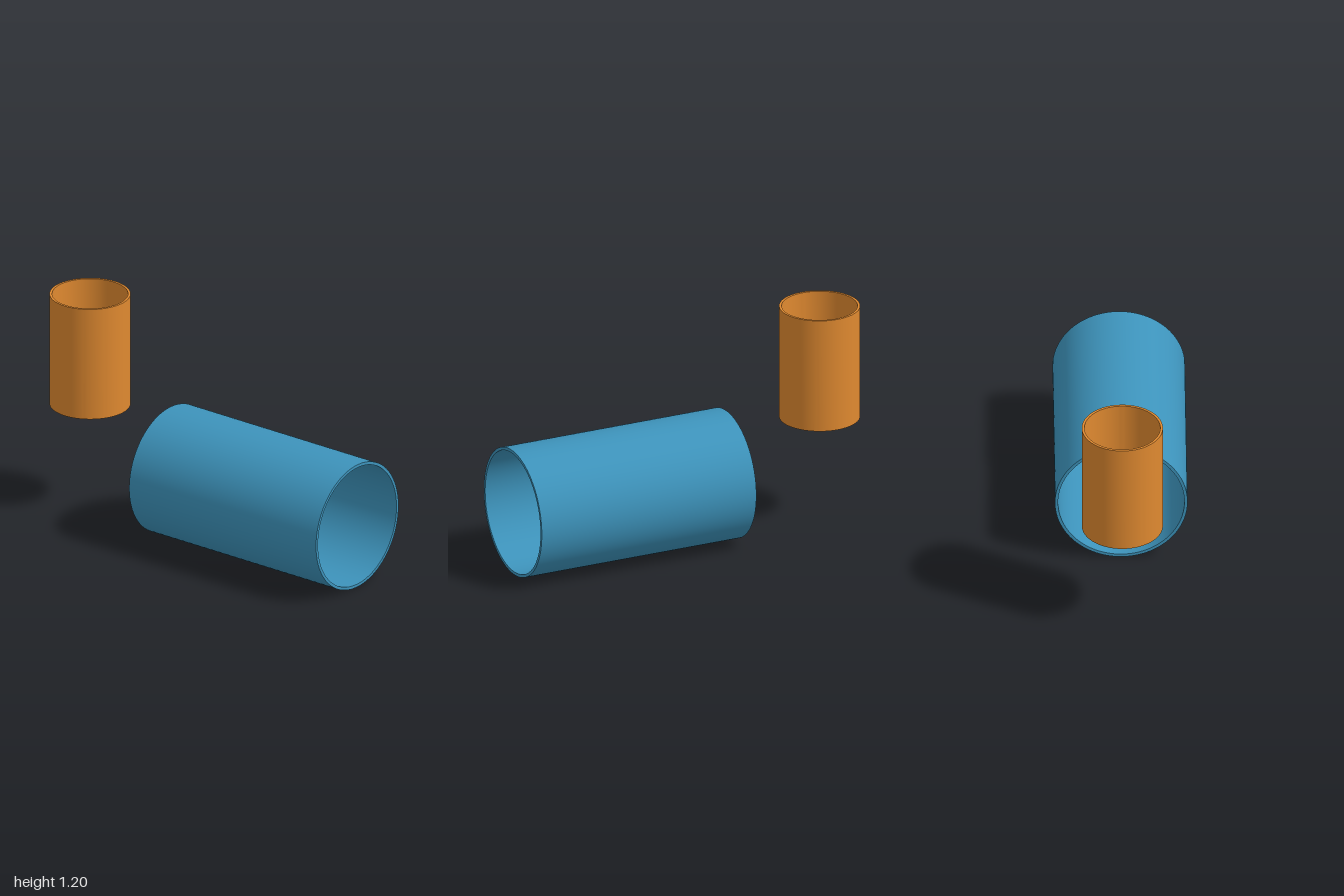
import * as THREE from 'three';
import { toCreasedNormals } from 'three/addons/utils/BufferGeometryUtils.js';

// Open-ended pipe along z, centred on the origin
function pipeGeometry(outer, inner, length) {
  const ring = new THREE.Shape().absarc(0, 0, outer, 0, Math.PI * 2, false);
  ring.holes.push(new THREE.Path().absarc(0, 0, inner, 0, Math.PI * 2, true));
  const geo = new THREE.ExtrudeGeometry(ring, { depth: length, bevelEnabled: false, curveSegments: 64 });
  geo.translate(0, 0, -length / 2);
  return toCreasedNormals(geo, 0.6);
}

export function createModel() {
  const blue = new THREE.MeshStandardMaterial({ color: 0x3d93bb });
  blue.name = 'blue';
  const orange = new THREE.MeshStandardMaterial({ color: 0xdf8930 });
  orange.name = 'orange';

  const group = new THREE.Group();

  // Large pipe lying along x
  const large = new THREE.Mesh(pipeGeometry(0.3475, 0.331, 1.25), blue);
  large.name = 'horizontalPipe';
  large.rotation.y = Math.PI / 2;
  large.position.set(0.375, 0.3475, 0);

  // Small upright pipe, raised beside it
  const small = new THREE.Mesh(pipeGeometry(0.2125, 0.199, 0.625), orange);
  small.name = 'verticalPipe';
  small.rotation.x = -Math.PI / 2;
  small.position.set(-0.7875, 0.885, 0);

  group.add(large, small);
  return group;
}
